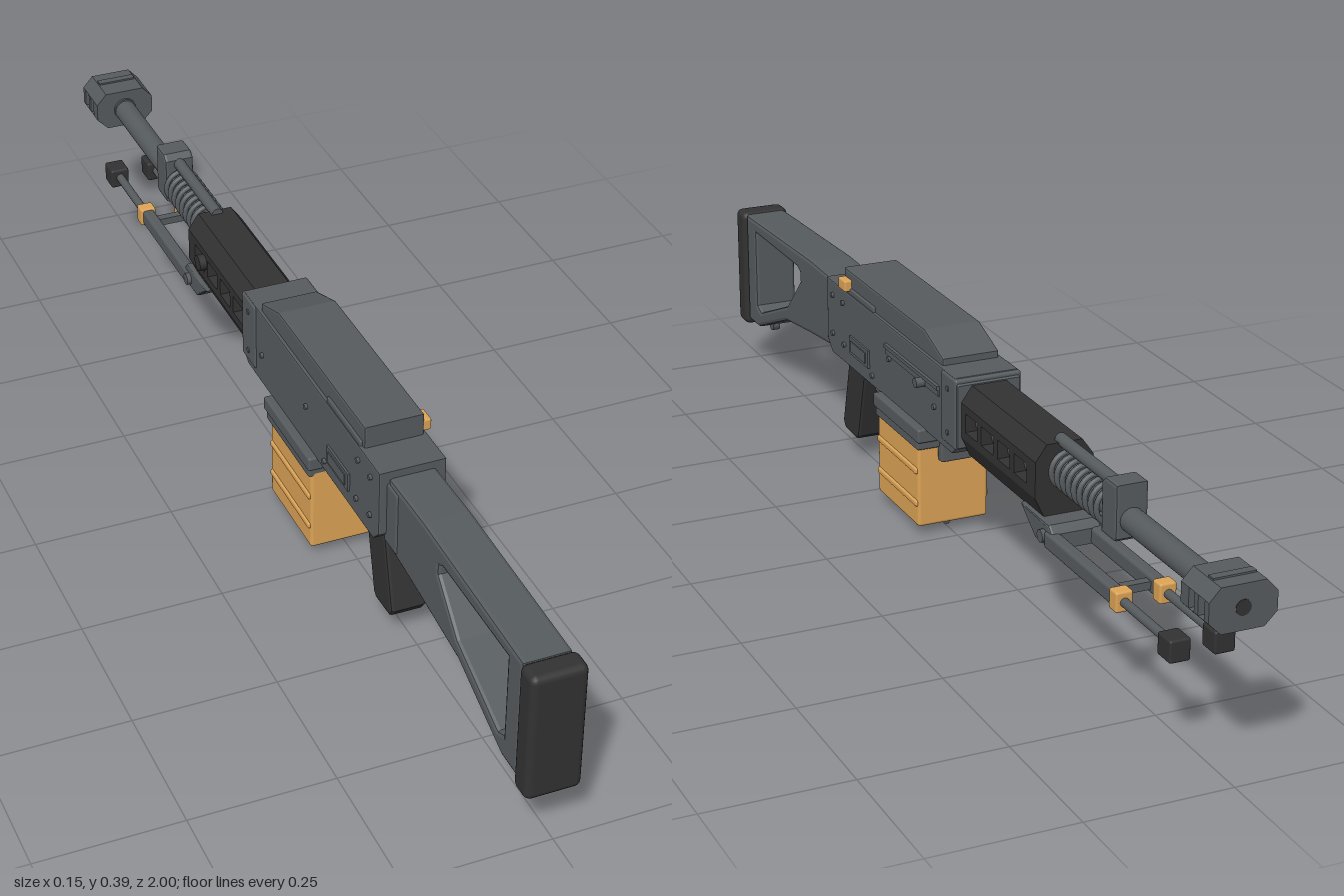
import * as THREE from 'three';
import { RoundedBoxGeometry } from 'three/addons/geometries/RoundedBoxGeometry.js';

const material = (name, color) => {
  const m = new THREE.MeshStandardMaterial({ color });
  m.name = name;
  return m;
};

export function createModel() {
  const model = new THREE.Group();
  model.name = 'machineGun';
  const body = new THREE.Group();
  body.name = 'body';
  body.position.x = -0.003;
  model.add(body);

  const steel = material('gunmetal', 0x565b5e);
  const black = material('blackPolymer', 0x323232);
  const ochre = material('ochre', 0xdca356);

  const add = (name, geo, mat, x = 0, y = 0, z = 0) => {
    const mesh = new THREE.Mesh(geo, mat);
    mesh.name = name;
    mesh.position.set(x, y, z);
    body.add(mesh);
    return mesh;
  };
  // Box from its limits, optionally with rounded edges
  const box = (name, mat, [x0, x1], [y0, y1], [z0, z1], r = 0) => {
    const s = [x1 - x0, y1 - y0, z1 - z0];
    const geo = r ? new RoundedBoxGeometry(...s, 2, r) : new THREE.BoxGeometry(...s);
    return add(name, geo, mat, (x0 + x1) / 2, (y0 + y1) / 2, (z0 + z1) / 2);
  };
  // Outlines run clockwise and holes counter-clockwise
  const shapeOf = (pts, clockwise) => {
    const v = pts.map((p) => new THREE.Vector2(...p));
    return new THREE.Shape(THREE.ShapeUtils.isClockWise(v) === clockwise ? v : v.reverse());
  };
  const extrude = (pts, depth, bevel, holes = []) => {
    const shape = shapeOf(pts, true);
    shape.holes = holes.map((h) => shapeOf(h, false));
    const geo = new THREE.ExtrudeGeometry(shape, {
      depth: depth - 2 * bevel, bevelEnabled: bevel > 0, bevelThickness: bevel,
      bevelSize: bevel, bevelOffset: -bevel, bevelSegments: 2,
    });
    return geo.translate(0, 0, -(depth - 2 * bevel) / 2);
  };
  // Side outline in (z, y), centred across x
  const side = (name, mat, pts, width, bevel = 0, holes = []) =>
    add(name, extrude(pts, width, bevel, holes).rotateY(-Math.PI / 2), mat);
  // Cross-section in (x, y), running from z0 to z1
  const section = (name, mat, pts, z0, z1) =>
    add(name, extrude(pts, z1 - z0, 0), mat, 0, 0, (z0 + z1) / 2);
  // Rod along z
  const rod = (name, mat, r, x, y, z0, z1, n = 20) =>
    add(name, new THREE.CylinderGeometry(r, r, z1 - z0, n).rotateX(Math.PI / 2), mat, x, y, (z0 + z1) / 2);
  // Short pin along x
  const pin = (name, mat, r, len, x, y, z) =>
    add(name, new THREE.CylinderGeometry(r, r, len, 12).rotateZ(Math.PI / 2), mat, x, y, z);

  // Skeleton stock and butt pad
  side('stock', steel,
    [[0.47, 0.332], [0.60, 0.335], [0.955, 0.324], [0.955, 0.103], [0.90, 0.103], [0.74, 0.168], [0.60, 0.186], [0.47, 0.20]],
    0.084, 0.007, [[[0.905, 0.3], [0.905, 0.147], [0.885, 0.138], [0.735, 0.2], [0.66, 0.275], [0.66, 0.292], [0.675, 0.3]]]);
  box('stockSocket', steel, [-0.045, 0.045], [0.205, 0.325], [0.46, 0.51], 0.006);
  box('buttPad', black, [-0.048, 0.048], [0.09, 0.327], [0.954, 1.0], 0.012);
  pin('slingStud', steel, 0.012, 0.014, 0, 0.097, 0.918);

  // Receiver with feed cover
  side('receiver', steel,
    [[0.472, 0.346], [0.472, 0.225], [0.45, 0.204], [-0.10, 0.204], [-0.125, 0.222], [-0.125, 0.335], [-0.114, 0.346]],
    0.118, 0.003);
  box('frontTrunnion', steel, [-0.062, 0.062], [0.217, 0.345], [-0.122, -0.06], 0.005);
  side('feedCover', steel,
    [[0.398, 0.342], [0.398, 0.386], [0.03, 0.386], [-0.05, 0.358], [-0.05, 0.342]], 0.106, 0.004);
  box('coverHinge', steel, [-0.057, 0.057], [0.343, 0.356], [0.25, 0.39], 0.003);
  box('coverLatch', ochre, [0.048, 0.067], [0.35, 0.371], [0.362, 0.395], 0.003);

  // Receiver side details
  for (const s of [-1, 1]) {
    box('ejectionFrame', steel, [s * 0.06 - 0.003, s * 0.06 + 0.003], [0.234, 0.268], [0.265, 0.355]);
    box('ejectionPort', steel, [s * 0.062 - 0.003, s * 0.062 + 0.003], [0.241, 0.261], [0.275, 0.345]);
    for (const [z, y] of [[0.44, 0.32], [0.39, 0.32], [0.44, 0.245], [0.385, 0.24], [0.25, 0.225], [0.17, 0.285], [-0.03, 0.265], [-0.09, 0.32], [-0.09, 0.24]])
      pin('rivet', steel, 0.005, 0.006, s * 0.061, y, z);
  }
  box('boltSlot', steel, [0.058, 0.062], [0.291, 0.305], [-0.05, 0.185]);
  box('boltRail', steel, [0.056, 0.065], [0.303, 0.31], [-0.05, 0.185]);
  pin('chargingHandle', steel, 0.009, 0.024, 0.066, 0.296, 0.015);

  // Handguard: sloped caps joined by pillars that leave open slots
  section('handguardTop', black, [[-0.052, 0.291], [0.052, 0.291], [0.052, 0.305], [0.032, 0.333], [-0.032, 0.333], [-0.052, 0.305]], -0.415, -0.12);
  section('handguardBottom', black, [[-0.052, 0.257], [-0.052, 0.242], [-0.034, 0.204], [0.034, 0.204], [0.052, 0.242], [0.052, 0.257]], -0.415, -0.12);
  const slots = [-0.166, -0.23, -0.294, -0.358];
  const edges = [-0.12, ...slots.flatMap((z) => [z + 0.024, z - 0.024]), -0.415];
  for (let i = 0; i < edges.length; i += 2)
    box('handguardPillar', black, [-0.052, 0.052], [0.256, 0.292], [edges[i + 1], edges[i]]);
  rod('handguardCore', steel, 0.034, 0, 0.274, -0.41, -0.12);
  pin('handguardPin', black, 0.015, 0.014, -0.058, 0.28, -0.335);

  // Barrel, cooling coils, gas tube and gas block
  rod('barrel', steel, 0.021, 0, 0.291, -0.93, -0.40);
  for (let i = 0; i < 9; i++)
    add('coil', new THREE.TorusGeometry(0.031, 0.005, 8, 24), steel, 0, 0.291, -0.43 - i * 0.02);
  rod('gasTube', steel, 0.011, 0, 0.333, -0.62, -0.40, 12);
  side('gasBlock', steel, [[-0.60, 0.256], [-0.60, 0.342], [-0.612, 0.352], [-0.652, 0.352], [-0.652, 0.262], [-0.645, 0.256]], 0.056, 0.005);

  // Muzzle brake with two windows through its sides
  const [low, high] = [[[-0.057, 0.277], [-0.036, 0.256], [0.036, 0.256], [0.057, 0.277]], [[0.057, 0.31], [0.038, 0.331], [-0.038, 0.331], [-0.057, 0.31]]];
  for (const [z0, z1] of [[-0.939, -0.915], [-0.967, -0.955], [-0.999, -0.986]])
    section('brakeBaffle', steel, [...low, ...high], z0, z1);
  section('brakeTop', steel, high, -0.999, -0.915);
  section('brakeBottom', steel, low, -0.999, -0.915);
  rod('brakeCore', steel, 0.022, 0, 0.293, -0.99, -0.91);
  rod('bore', black, 0.013, 0, 0.293, -1.0, -0.98);
  box('brakeTopVent', steel, [-0.036, 0.036], [0.329, 0.334], [-0.972, -0.957]);

  // Folded bipod
  side('bipodMount', steel, [[-0.345, 0.208], [-0.45, 0.208], [-0.462, 0.195], [-0.462, 0.168], [-0.4, 0.167]], 0.09, 0.004);
  pin('bipodPivot', steel, 0.011, 0.106, 0, 0.185, -0.435);
  for (const s of [-1, 1]) {
    const x = s * 0.038;
    box('bipodLeg', steel, [x - 0.011, x + 0.011], [0.166, 0.196], [-0.685, -0.44], 0.006);
    box('bipodCollar', ochre, [x - 0.015, x + 0.015], [0.164, 0.199], [-0.706, -0.68], 0.004);
    rod('bipodRod', steel, 0.008, x, 0.181, -0.86, -0.69, 12);
    box('bipodFoot', black, [x - 0.018, x + 0.018], [0.16, 0.198], [-0.886, -0.845], 0.004);
  }
  box('bipodBrace', steel, [-0.038, 0.038], [0.174, 0.188], [-0.668, -0.652]);

  // Magazine well and ammunition box
  box('magazineWell', steel, [-0.074, 0.074], [0.182, 0.208], [0.01, 0.215], 0.004);
  box('magazineCollar', steel, [-0.072, 0.072], [0.166, 0.186], [0.018, 0.21], 0.004);
  box('magazineCatch', steel, [-0.03, 0.03], [0.14, 0.2], [0.008, 0.026], 0.004);
  box('ammoBox', ochre, [-0.067, 0.067], [0.016, 0.178], [0.026, 0.21], 0.006);
  for (const y of [0.06, 0.122])
    box('ammoBoxRib', ochre, [-0.071, 0.071], [y - 0.006, y + 0.006], [0.03, 0.206], 0.004);
  box('ammoBoxRunner', steel, [-0.006, 0.006], [0, 0.02], [0.05, 0.182], 0.005);

  // Pistol grip, trigger and guard
  side('grip', black, [[0.43, 0.212], [0.355, 0.212], [0.36, 0.185], [0.395, 0.048], [0.405, 0.04], [0.46, 0.042], [0.47, 0.056]], 0.064, 0.006);
  const guard = new THREE.CatmullRomCurve3([
    [0.37, 0.15], [0.34, 0.146], [0.26, 0.146], [0.235, 0.155], [0.225, 0.178], [0.222, 0.206],
  ].map(([z, y]) => new THREE.Vector3(0, y, z)));
  add('triggerGuard', new THREE.TubeGeometry(guard, 30, 0.006, 8), steel);
  side('trigger', steel, [[0.31, 0.21], [0.292, 0.21], [0.291, 0.185], [0.30, 0.163], [0.306, 0.165], [0.301, 0.187]], 0.014);

  return model;
}
